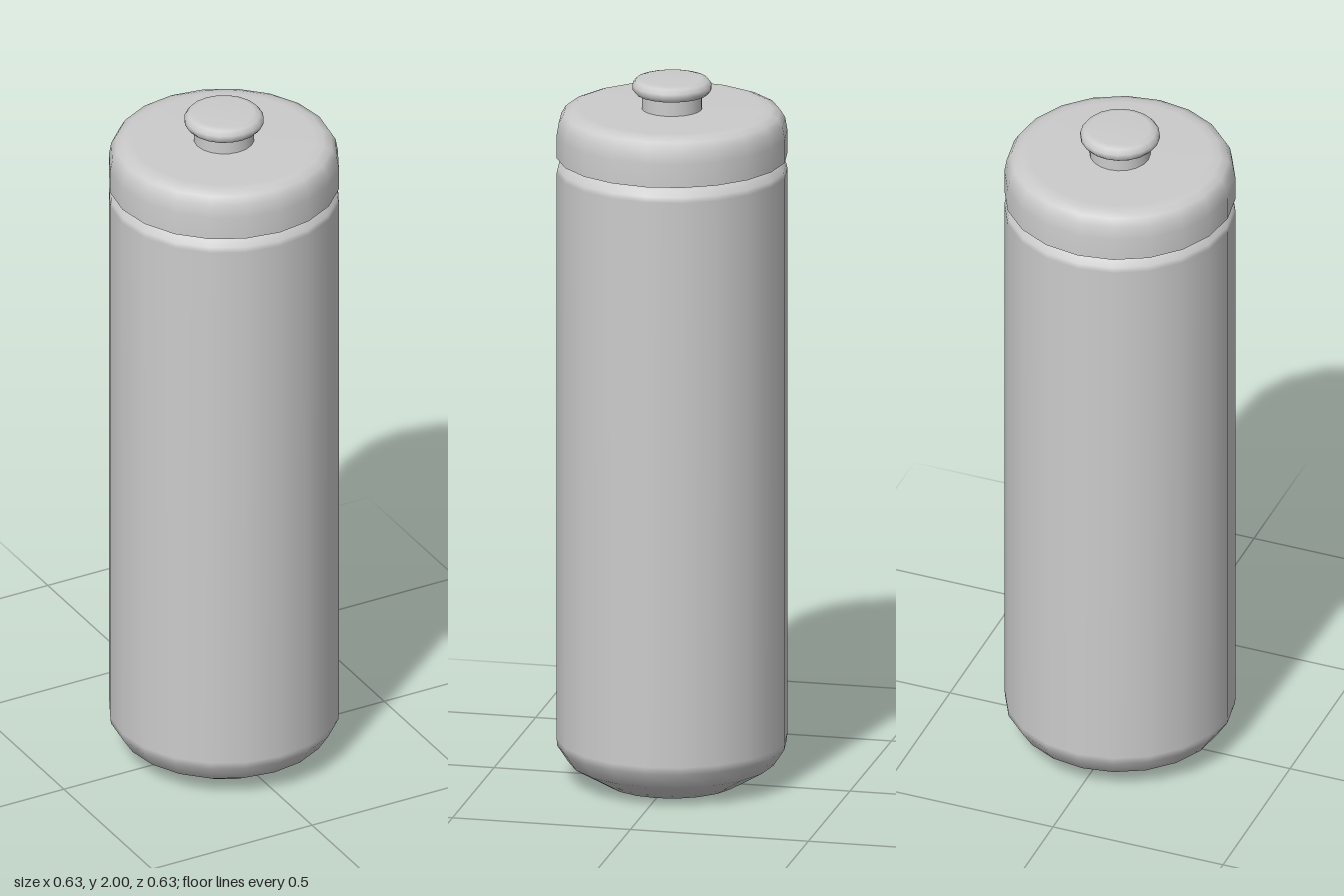
import * as THREE from 'three';

const SIDES = 20;

export function createModel() {
  const model = new THREE.Group();
  const material = new THREE.MeshStandardMaterial({ color: 0xcccccc });

  // Each part is one or more turned profiles [radius, height], bottom to top;
  // separate profiles meet in a sharp edge.
  function addTurned(name, ...profiles) {
    const part = new THREE.Group();
    part.name = name;
    profiles.forEach((profile, i) => {
      const points = profile.map(([r, y]) => new THREE.Vector2(r, y));
      const mesh = new THREE.Mesh(new THREE.LatheGeometry(points, SIDES), material);
      mesh.name = `${name}Surface${i + 1}`;
      part.add(mesh);
    });
    model.add(part);
  }

  // Tall body with a tapered base and a rounded shoulder
  addTurned('body', [
    [0, 0], [0.187, 0], [0.285, 0.058], [0.315, 0.104], [0.317, 0.125],
    [0.317, 1.735], [0.314, 1.75], [0.297, 1.768], [0.285, 1.778], [0, 1.778],
  ]);

  // Lid with a flat underside and a rounded top rim
  addTurned('lid',
    [[0, 1.779], [0.317, 1.779]],
    [[0.317, 1.779], [0.317, 1.845], [0.311, 1.88], [0.298, 1.902], [0.275, 1.911], [0.25, 1.913], [0, 1.915]],
  );

  // Knob stem
  addTurned('knobStem', [[0.083, 1.905], [0.083, 1.965]]);

  // Rounded knob cap
  addTurned('knobCap', [
    [0, 1.955], [0.085, 1.955], [0.1, 1.959], [0.109, 1.97],
    [0.109, 1.983], [0.1, 1.995], [0.083, 2], [0, 2],
  ]);

  return model;
}
